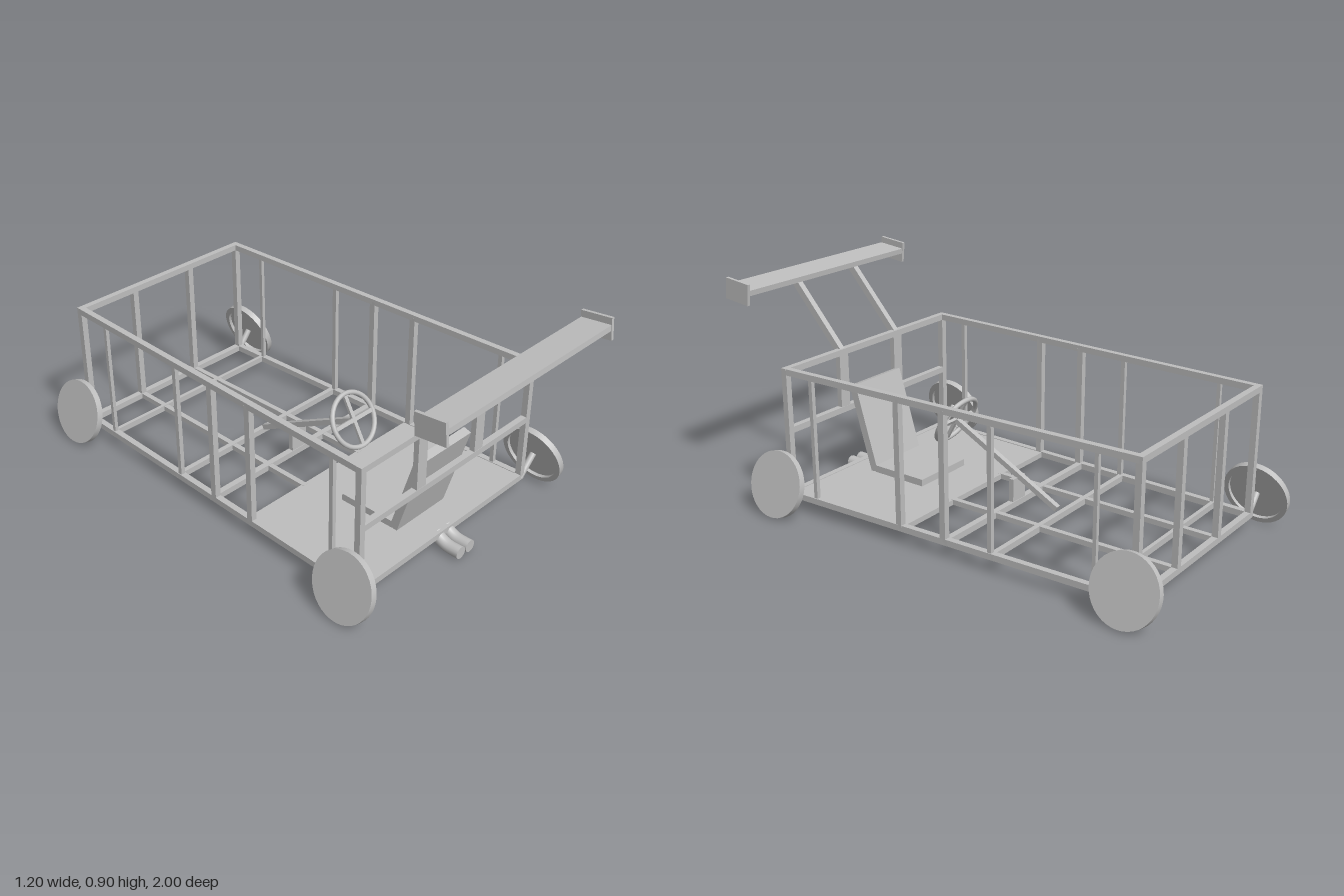
import * as THREE from 'three';
import { toCreasedNormals } from 'three/addons/utils/BufferGeometryUtils.js';

const grey = new THREE.MeshStandardMaterial({ color: 0xbebebe });
grey.name = 'frame grey';

const V = (x, y, z) => new THREE.Vector3(x, y, z);
const UP = V(0, 1, 0);
const FRONT = 0.672, BACK = -0.868, TOP = 0.583, LOW = 0.071, BAR = 0.025;

export function createModel() {
  const root = new THREE.Group();
  root.name = 'racingCart';

  function add(name, geometry, parent = root) {
    const mesh = new THREE.Mesh(geometry, grey);
    mesh.name = name;
    parent.add(mesh);
    return mesh;
  }
  function box(name, w, h, d, x, y, z, parent = root) {
    const mesh = add(name, new THREE.BoxGeometry(w, h, d), parent);
    mesh.position.set(x, y, z);
    return mesh;
  }
  // Square bar running between two points
  function bar(name, a, b, w = BAR, h = w) {
    const mesh = add(name, new THREE.BoxGeometry(w, h, a.distanceTo(b)));
    mesh.position.copy(a).add(b).multiplyScalar(0.5);
    if (Math.abs(b.y - a.y) > 0.99 * a.distanceTo(b)) mesh.up.set(0, 0, 1);
    mesh.lookAt(b);
    return mesh;
  }
  // Side rails taper towards the back
  const sideX = (side, z) => {
    const t = (FRONT - z) / (FRONT - BACK);
    return side > 0 ? 0.469 - 0.062 * t : -0.475 + 0.041 * t;
  };
  const across = (name, y, z, w = BAR) =>
    bar(name, V(sideX(-1, z) - 0.0125, y, z), V(sideX(1, z) + 0.0125, y, z), w, BAR);

  // Long rails and upright posts on both sides
  const posts = [[FRONT, BAR], [0.543, 0.017], [0.126, BAR], [-0.078, BAR],
    [-0.283, 0.018], [-0.71, 0.015], [BACK, BAR]];
  for (const side of [-1, 1]) {
    for (const y of [TOP, LOW]) {
      bar('sideRail', V(sideX(side, FRONT), y, FRONT), V(sideX(side, BACK), y, BACK));
    }
    for (const [z, w] of posts) {
      const x = sideX(side, z);
      bar('sidePost', V(x, LOW, z), V(x, TOP, z), w);
    }
  }

  // Cross bars
  for (const z of [FRONT, BACK]) {
    across('topCrossBar', TOP, z);
    across('bottomCrossBar', LOW, z);
  }
  for (const [z, w] of [[-0.087, BAR], [-0.292, 0.02], [-0.716, 0.015]]) {
    across('floorCrossBar', LOW, z, w);
  }
  across('frontMiddleBar', 0.34, FRONT);

  // Inner floor rails, back posts and front plates
  for (const [backX, frontX, plateX] of [[-0.168, -0.168, -0.167], [0.132, 0.148, 0.16]]) {
    bar('floorRail', V(backX, LOW, BACK), V(frontX, LOW, 0.12), 0.022);
    bar('backPost', V(backX, LOW, BACK), V(backX, TOP, BACK), BAR);
    box('frontPlate', 0.049, 0.225, 0.022, plateX, 0.46, FRONT);
    bar('wingStrut', V(plateX, TOP - 0.003, FRONT + 0.003), V(plateX, 0.845, 0.915), BAR, 0.03);
  }

  // Floor panel, tapered between the rails
  const inset = 0.011;
  const floor = new THREE.Shape();
  floor.moveTo(sideX(-1, 0.108) + inset, -0.108);
  floor.lineTo(sideX(-1, 0.66) + inset, -0.66);
  floor.lineTo(sideX(1, 0.66) - inset, -0.66);
  floor.lineTo(sideX(1, 0.108) - inset, -0.108);
  const panel = add('floorPanel', new THREE.ExtrudeGeometry(floor, { depth: 0.022, bevelEnabled: false }));
  panel.rotation.x = -Math.PI / 2;
  panel.position.y = 0.059;

  // Seat
  box('seatBase', 0.272, 0.03, 0.25, -0.004, 0.095, 0.412);
  bar('seatBack', V(-0.004, 0.082, 0.542), V(-0.004, 0.436, 0.648), 0.272, 0.034);

  // Steering column and wheel
  const hub = V(0, 0.345, 0.213);
  bar('steeringColumn', V(0, 0.092, -0.278), hub, 0.022);
  box('columnSupport', 0.078, 0.1, 0.02, 0, 0.128, -0.087);
  const steering = new THREE.Group();
  steering.name = 'steeringWheel';
  steering.position.copy(hub);
  steering.lookAt(hub.clone().add(V(0, 0.486, 0.874)));
  root.add(steering);
  add('steeringRim', new THREE.TorusGeometry(0.106, 0.01, 10, 36), steering);
  box('steeringSpoke', 0.206, 0.016, 0.012, 0, 0, 0, steering);
  box('steeringSpoke', 0.016, 0.206, 0.0115, 0, 0, 0, steering);

  // Cambered wheels with a hollow inner side, on angled stub axles
  const R = 0.133, H = 0.013;
  const profile = [[0, 0.001], [R - 0.02, 0.001], [R - 0.02, -H], [R, -H], [R, H], [0, H]]
    .map(([x, y]) => new THREE.Vector2(x, y));
  const wheelGeometry = toCreasedNormals(new THREE.LatheGeometry(profile, 40), 0.6);
  const camber = THREE.MathUtils.degToRad(16.2);
  for (const [x, z] of [[0.549, 0.674], [-0.553, 0.674], [0.468, -0.865], [-0.5, -0.865]]) {
    const side = Math.sign(x);
    const wheel = add(z > 0 ? 'frontWheel' : 'backWheel', wheelGeometry);
    wheel.position.set(x, 0.137, z);
    wheel.quaternion.setFromUnitVectors(UP, V(side * Math.cos(camber), Math.sin(camber), 0));
    const a = V(sideX(side, z), 0.062, z), b = V(x, 0.137, z);
    const stub = add('stubAxle', new THREE.CylinderGeometry(0.013, 0.013, a.distanceTo(b), 14));
    stub.position.copy(a).add(b).multiplyScalar(0.5);
    stub.quaternion.setFromUnitVectors(UP, b.clone().sub(a).normalize());
  }

  // Twin exhaust pipes curving down from the floor
  for (const x of [-0.03, 0.024]) {
    const path = new THREE.CatmullRomCurve3([V(x, 0.066, 0.655), V(x, 0.046, 0.682),
      V(x, 0.034, 0.715), V(x, 0.033, 0.775)]);
    add('exhaustPipe', new THREE.TubeGeometry(path, 16, 0.025, 16));
    add('exhaustEnd', new THREE.CircleGeometry(0.025, 16)).position.set(x, 0.033, 0.775);
  }

  // Wing with end plates, front edge raised a little
  const wing = new THREE.Group();
  wing.name = 'wing';
  wing.position.set(-0.004, 0.852, 0.934);
  wing.rotation.x = -0.1;
  root.add(wing);
  box('wingBlade', 0.9, 0.022, 0.122, 0, 0.006, 0, wing);
  for (const side of [-1, 1]) {
    box('wingEndPlate', 0.013, 0.086, 0.124, side * 0.454, 0, 0, wing);
  }
  return root;
}
